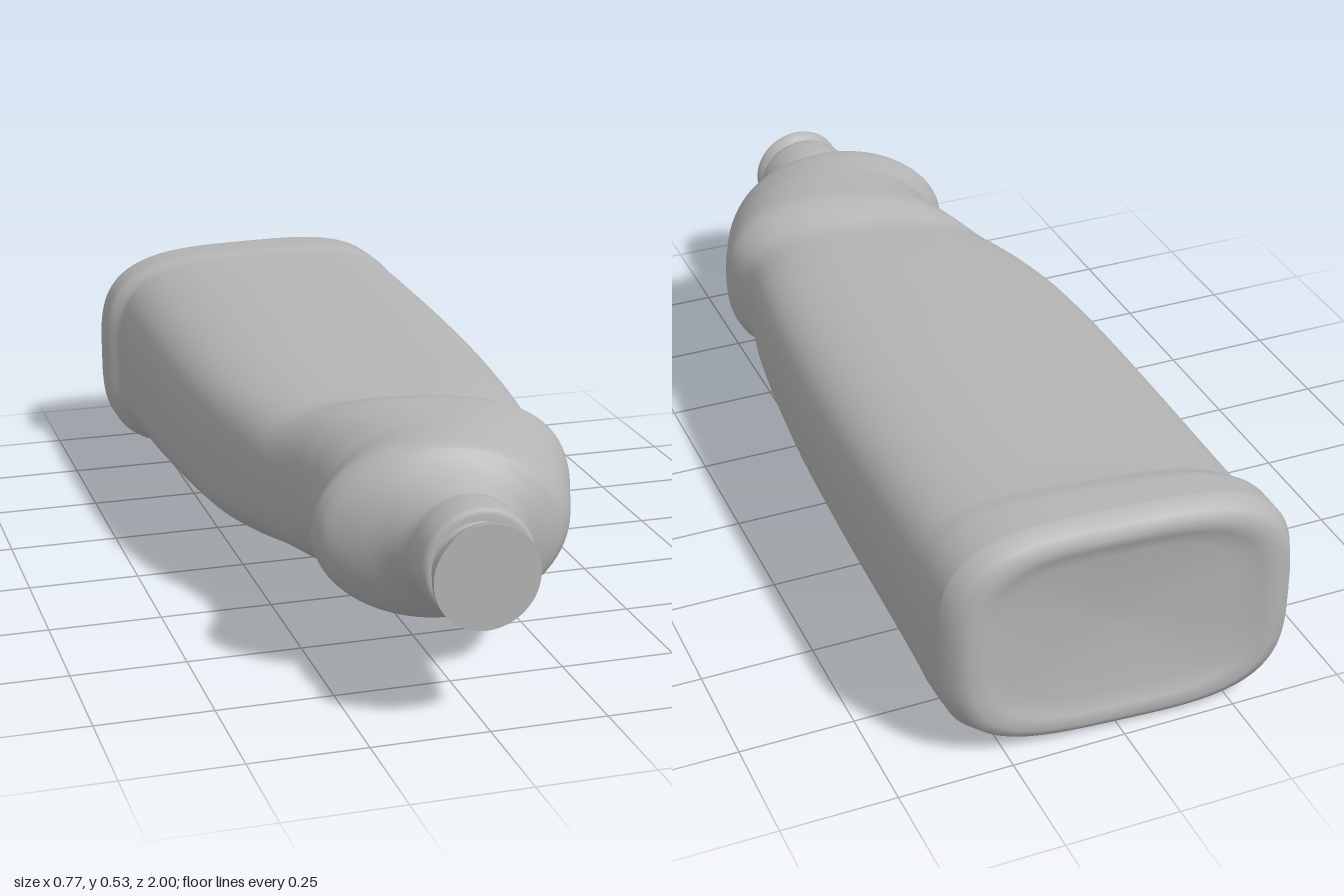
import * as THREE from 'three';

// Body sections from base to neck: z at left edge, z at right edge, xMin, xMax, yMin, yMax
const SECTIONS = [
  [-0.95, -0.92, -0.387, 0.382, 0.008, 0.533], // foot
  [-0.885, -0.83, -0.387, 0.386, 0.009, 0.533],
  [-0.838, -0.775, -0.358, 0.386, 0.024, 0.525],
  [-0.5, -0.45, -0.36, 0.385, 0.055, 0.517], // tapering body
  [-0.2, -0.12, -0.356, 0.376, 0.081, 0.511],
  [0, 0.12, -0.344, 0.358, 0.098, 0.506],
  [0.15, 0.31, -0.32, 0.337, 0.114, 0.502],
  [0.27, 0.44, -0.29, 0.317, 0.127, 0.498], // slanted groove
  [0.37, 0.53, -0.247, 0.335, 0.112, 0.53],
  [0.41, 0.56, -0.235, 0.33, 0.111, 0.535],
  [0.48, 0.61, -0.222, 0.312, 0.115, 0.533], // grip
  [0.56, 0.66, -0.222, 0.293, 0.122, 0.53],
  [0.615, 0.7, -0.252, 0.277, 0.127, 0.527],
  [0.655, 0.745, -0.27, 0.253, 0.133, 0.524], // shoulder
  [0.685, 0.775, -0.262, 0.228, 0.143, 0.517],
  [0.72, 0.787, -0.23, 0.195, 0.165, 0.493],
  [0.785, 0.802, -0.15, 0.145, 0.205, 0.466],
  [0.835, 0.835, -0.118, 0.108, 0.222, 0.448],
];

// Dished base: scale of the first section and its z offset, from the middle outwards
const BASE = [[0, -0.02], [0.65, -0.027], [0.78, -0.043], [0.87, -0.05], [0.95, -0.037]];

// Slope of value k at section i, zero at peaks so that the curve never overshoots
function slope(i, k) {
  if (i === 0 || i === SECTIONS.length - 1) return k === 0 ? 1 : 0;
  const [p, q, r] = [SECTIONS[i - 1], SECTIONS[i], SECTIONS[i + 1]];
  const a = (q[k] - p[k]) / (q[0] - p[0]), b = (r[k] - q[k]) / (r[0] - q[0]);
  return a * b > 0 ? 2 * a * b / (a + b) : 0;
}

function between(i, t) {
  const a = SECTIONS[i], b = SECTIONS[i + 1], h = b[0] - a[0], s = t * t * (3 - 2 * t);
  return a.map((v, k) => v + (b[k] - v) * s
    + h * (t * (1 - t) ** 2 * slope(i, k) - t * t * (1 - t) * slope(i + 1, k)));
}

// Rounded rectangle that turns into an ellipse towards the neck
function ringPoints([zL, zR, x0, x1, y0, y1], scale, dz, around) {
  const n = 3.4 - 1.4 * THREE.MathUtils.smoothstep(zL, 0, 0.7);
  const roll = 0.03 * (1 - THREE.MathUtils.smoothstep(zL, -0.7, 0.3));
  const bulge = w => Math.sign(w) * Math.abs(w) ** (2 / n);
  const points = [];
  for (let j = 0; j < around; j++) {
    const a = j / around * Math.PI * 2;
    const u = scale * bulge(Math.cos(a)), v = scale * bulge(Math.sin(a));
    const x = (x0 + x1) / 2 + u * (x1 - x0) / 2;
    const y = (y0 + y1) / 2 + v * (y1 - y0) / 2 + roll * x;
    points.push(x, y, zL + (zR - zL) * (u + 1) / 2 + dz);
  }
  return points;
}

function bodyGeometry(around = 96, steps = 5) {
  const rings = BASE.map(([scale, dz]) => ringPoints(SECTIONS[0], scale, dz, around));
  for (let i = 0; i < SECTIONS.length - 1; i++) {
    for (let s = 0; s < steps; s++) rings.push(ringPoints(between(i, s / steps), 1, 0, around));
  }
  rings.push(ringPoints(SECTIONS.at(-1), 1, 0, around));

  const idx = [];
  for (let i = 0; i < rings.length - 1; i++) {
    for (let j = 0; j < around; j++) {
      const k = (j + 1) % around, a = i * around, b = a + around;
      idx.push(a + j, a + k, b + k, a + j, b + k, b + j);
    }
  }
  const g = new THREE.BufferGeometry();
  g.setAttribute('position', new THREE.Float32BufferAttribute(rings.flat(), 3));
  g.setIndex(idx);
  g.computeVertexNormals();
  return g;
}

// Lathe turned so that its axis runs along z; points are [radius, z]
function turned(name, points, material) {
  const g = new THREE.LatheGeometry(points.map(p => new THREE.Vector2(p[0], p[1])), 64);
  g.rotateX(Math.PI / 2);
  const m = new THREE.Mesh(g, material);
  m.name = name;
  m.position.set(-0.005, 0.335, 0);
  return m;
}

export function createModel() {
  const grey = new THREE.MeshStandardMaterial({ color: 0xb4b4b4 });
  grey.name = 'plain grey';
  const group = new THREE.Group();
  group.name = 'bottle';

  const body = new THREE.Mesh(bodyGeometry(), grey);
  body.name = 'body';
  group.add(body);

  // Collar with rounded rims
  group.add(turned('collar', [
    [0.108, 0.82], [0.107, 0.838], [0.116, 0.843], [0.121, 0.852], [0.121, 0.89],
    [0.12, 0.925], [0.116, 0.936], [0.108, 0.94], [0.085, 0.941],
  ], grey));

  // Narrow spout and its flared lip
  const spout = turned('spout', [
    [0.098, 0.935], [0.093, 0.945], [0.09, 0.955], [0.092, 0.972], [0.1, 0.981], [0.11, 0.986], [0.111, 1],
  ], grey);
  spout.position.x = -0.012;
  group.add(spout);

  const lid = new THREE.Mesh(new THREE.CircleGeometry(0.111, 64), grey);
  lid.name = 'lid';
  lid.position.z = 1;
  spout.add(lid);

  // Thread ring around the spout
  const thread = new THREE.Mesh(new THREE.TorusGeometry(0.093, 0.006, 8, 64), grey);
  thread.name = 'thread';
  thread.position.z = 0.962;
  spout.add(thread);

  return group;
}
